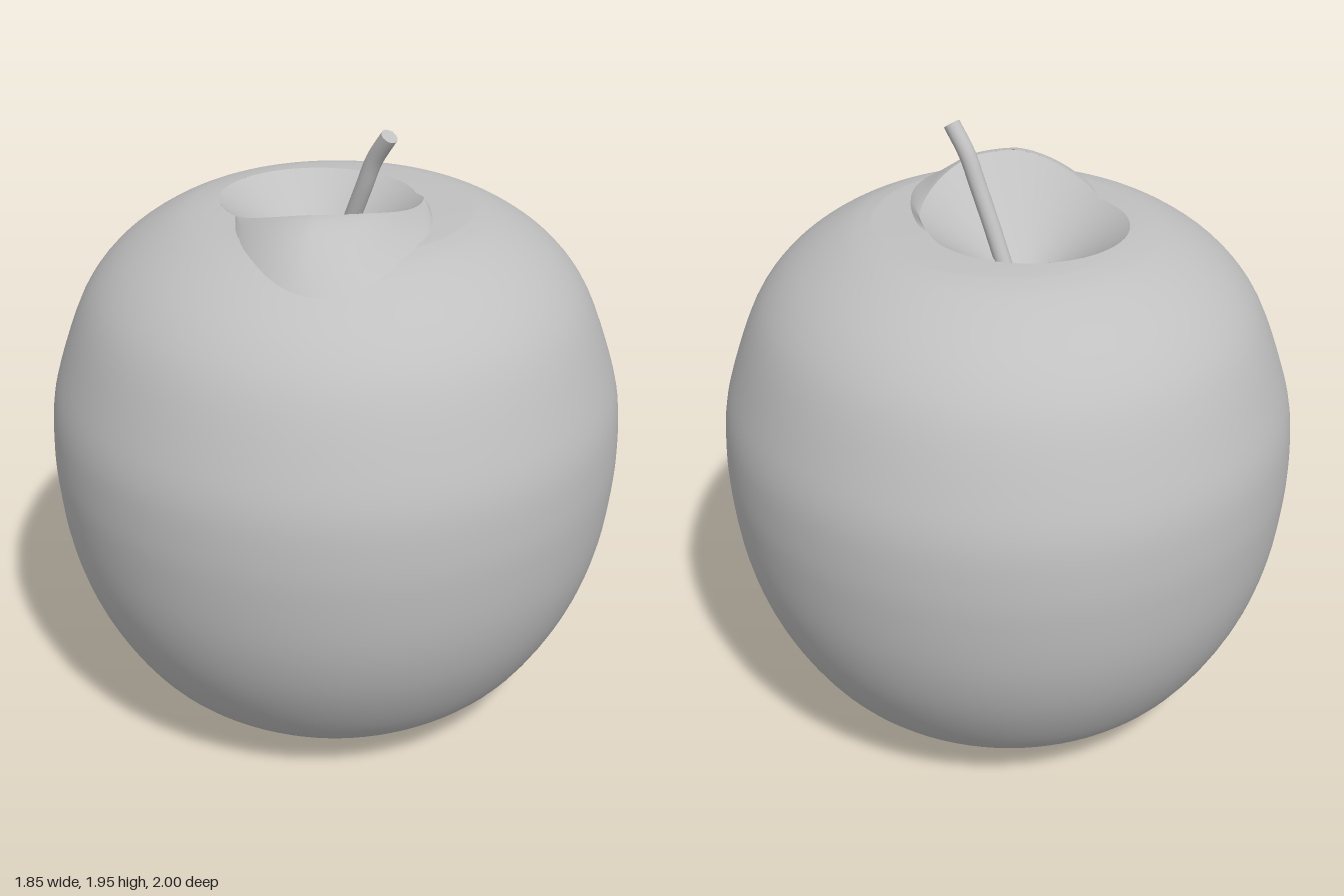
import * as THREE from 'three';

const DEPTH = 1.08;          // the body is slightly longer in z than in x
const TOP = 1.672;           // height of the crown
const PIT = { x: -0.06, z: -0.06, r: 0.315, slope: 1.39, floorR: 0.03 };
const floorY = TOP - (PIT.r - PIT.floorR) / PIT.slope;

// Smooth surface through rings of points: point(i, f) with f running 0..1 round the ring
function loft(rings, segs, closed, point) {
  const pos = [], index = [];
  const cols = closed ? segs : segs + 1;
  for (let i = 0; i <= rings; i++)
    for (let j = 0; j < cols; j++) pos.push(...point(i, j / segs));
  for (let i = 0; i < rings; i++)
    for (let j = 0; j < segs; j++) {
      const k = (j + 1) % cols;
      const a = i * cols + j, b = i * cols + k;
      index.push(a, b, a + cols, b, b + cols, a + cols);
    }
  const g = new THREE.BufferGeometry();
  g.setAttribute('position', new THREE.Float32BufferAttribute(pos, 3));
  g.setIndex(index);
  g.computeVertexNormals();
  return g;
}

// Height of the raised lip, sinking to the crown at its sides and back
const lipHeight = (x, z) =>
  Math.max(TOP, Math.min(1.762 - 0.09 * (x / 0.305) ** 2, 1.692 + 0.18 * z));

// Height of the body near its crown
const crownHeight = (x, z) =>
  TOP - 1.4 * Math.max(0, Math.hypot(x, z / DEPTH) - 0.37) ** 2;

// Rim of the conical pit, climbing where the lip is higher
function rim(t, raised = true) {
  let y = TOP, p;
  for (let n = 0; n < 12; n++) {
    const d = PIT.r + PIT.slope * (y - TOP);
    p = [PIT.x + d * Math.sin(t), y, PIT.z + d * Math.cos(t)];
    if (!raised) break;
    y = lipHeight(p[0], p[2]);
  }
  return p;
}

export function createModel() {
  const group = new THREE.Group();
  const grey = new THREE.MeshStandardMaterial({ color: 0xc0c0c0, side: THREE.DoubleSide });
  grey.name = 'light grey';
  const add = (name, geometry) => {
    const mesh = new THREE.Mesh(geometry, grey);
    mesh.name = name;
    group.add(mesh);
    return mesh;
  };

  // Fruit body: elliptical rings following a profile, ending at the pit
  const profile = new THREE.CatmullRomCurve3([
    [0.24, 0.09], [0.33, 0.045], [0.38, 0.012], [0.43, 0], [0.49, 0.025], [0.6, 0.1],
    [0.705, 0.2], [0.825, 0.4], [0.892, 0.6], [0.922, 0.82], [0.925, 0.94], [0.915, 1.07],
    [0.88, 1.2], [0.8, 1.4], [0.715, 1.51], [0.61, 1.592], [0.5, 1.648], [0.42, 1.668],
  ].map(([r, y]) => new THREE.Vector3(r, y, 0))).getPoints(70);
  add('body', loft(profile.length, 96, true, (i, f) => {
    const t = f * Math.PI * 2;
    if (i === profile.length) return rim(t, false);
    const { x: r, y } = profile[i];
    return [r * Math.sin(t), y, r * DEPTH * Math.cos(t)];
  }));

  // Flat disc closing the hollow underneath
  const base = add('baseDisc', new THREE.CircleGeometry(0.24, 64).rotateX(Math.PI / 2));
  base.scale.z = DEPTH;
  base.position.y = 0.09;

  // Conical pit and its small floor
  add('pit', loft(12, 128, true, (i, f) => {
    const t = f * Math.PI * 2, k = i / 12;
    const [x, y, z] = rim(t);
    const end = [PIT.x + PIT.floorR * Math.sin(t), floorY, PIT.z + PIT.floorR * Math.cos(t)];
    return [x, y, z].map((v, n) => v + (end[n] - v) * k);
  }));
  const floor = add('pitFloor', new THREE.CircleGeometry(PIT.floorR, 32).rotateX(-Math.PI / 2));
  floor.position.set(PIT.x, floorY, PIT.z);

  // Raised lip in front of the pit, from its footprint on the body up to the rim
  const rad = THREE.MathUtils.degToRad;
  add('lip', loft(20, 72, false, (i, f) => {
    const v = 1 - i / 20;
    const inner = rim(rad(-51 + 152 * f));
    const s = rad(-91 + 206 * f), c = Math.cos(s);
    const x = 0.305 * Math.sin(s), z = 0.15 + (c > 0 ? 0.515 : 0.6) * c;
    const y = crownHeight(x, z) - 0.008;
    return [
      inner[0] + (x - inner[0]) * v,
      inner[1] + (y - inner[1]) * v ** 1.7,
      inner[2] + (z - inner[2]) * v,
    ];
  }));

  // Curved stem with a flat cut end
  const path = new THREE.CatmullRomCurve3([
    [-0.01, 1.44, -0.02], [0.045, 1.62, 0.035], [0.088, 1.75, 0.075],
    [0.12, 1.845, 0.102], [0.165, 1.93, 0.143],
  ].map(p => new THREE.Vector3(...p)));
  add('stem', new THREE.TubeGeometry(path, 32, 0.027, 24));
  const tip = add('stemTip', new THREE.CircleGeometry(0.027, 24));
  tip.position.copy(path.getPoint(1));
  tip.quaternion.setFromUnitVectors(new THREE.Vector3(0, 0, 1), path.getTangent(1));

  return group;
}
